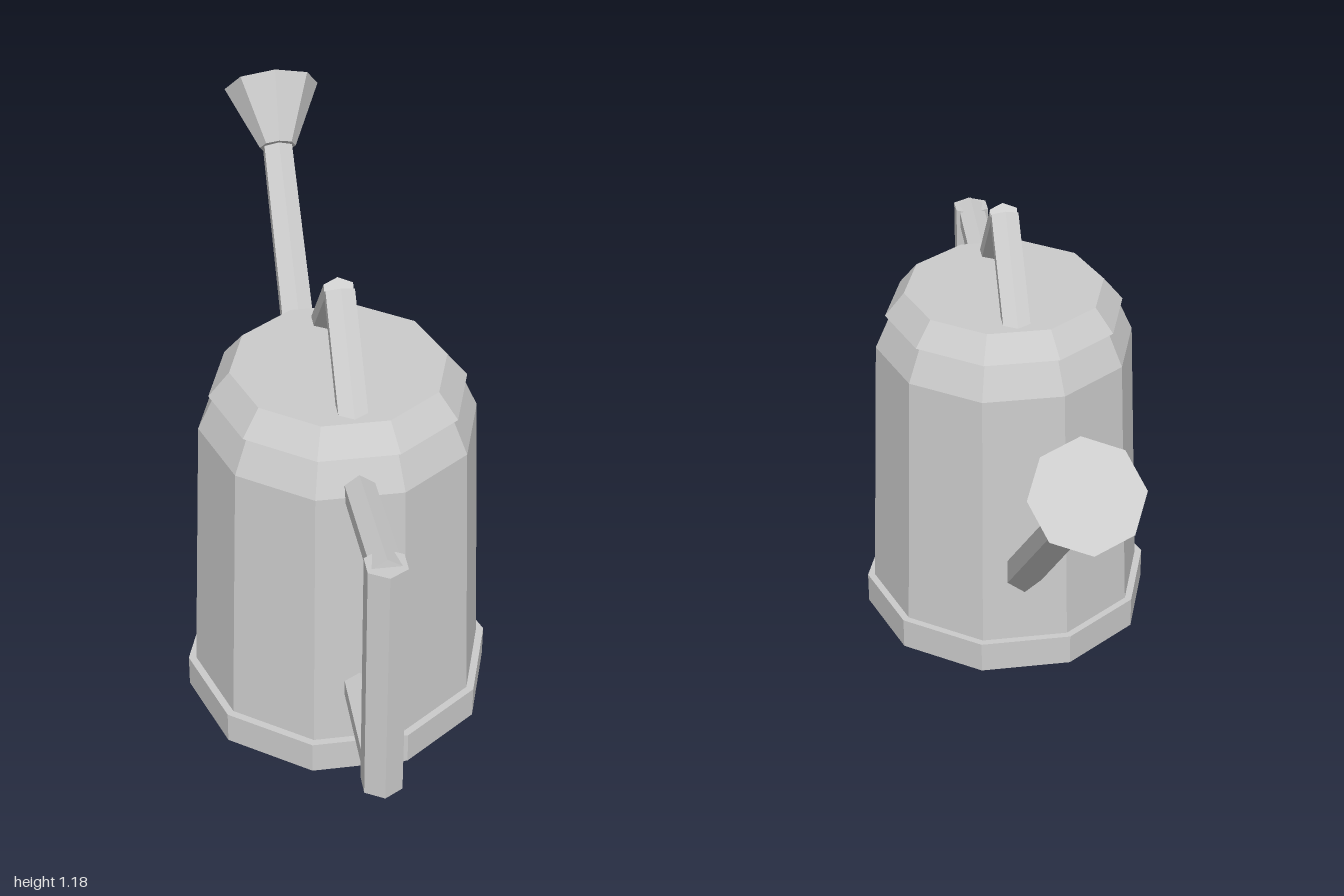
import * as THREE from 'three';

const material = new THREE.MeshStandardMaterial({ color: 0xcccccc, flatShading: true });
const BODY_Z = 0.29;

// Ten-sided ring of the can, with corners on the x axis
function ring(name, y0, y1, r0, r1) {
  const geometry = new THREE.CylinderGeometry(r1, r0, y1 - y0, 10, 1, false, Math.PI / 10);
  const mesh = new THREE.Mesh(geometry, material);
  mesh.name = name;
  mesh.position.set(0, (y0 + y1) / 2, BODY_Z);
  return mesh;
}

// Faceted bar between two [z, y] points in the middle plane
function bar(name, a, b, r0, r1 = r0, sides = 6, squash = 1) {
  const dz = b[0] - a[0], dy = b[1] - a[1];
  const geometry = new THREE.CylinderGeometry(r1, r0, Math.hypot(dz, dy), sides);
  geometry.scale(1, 1, squash);
  const mesh = new THREE.Mesh(geometry, material);
  mesh.name = name;
  mesh.position.set(0, (a[1] + b[1]) / 2, (a[0] + b[0]) / 2);
  mesh.rotation.x = Math.atan2(dz, dy);
  return mesh;
}

export function createModel() {
  const model = new THREE.Group();
  model.name = 'wateringCan';

  // Can
  model.add(
    ring('base', 0, 0.086, 0.387, 0.387),
    ring('body', 0.08, 0.807, 0.368, 0.34),
    ring('shoulder', 0.807, 0.905, 0.34, 0.296),
    ring('lid', 0.898, 0.961, 0.313, 0.262),
  );

  // Peaked carrying handle on the lid
  for (const side of [1, -1]) {
    model.add(bar('lidHandle', [BODY_Z + side * 0.22, 0.93], [BODY_Z + side * 0.003, 1.164], 0.04, 0.04, 6, 0.77));
  }

  // Rear handle
  const handle = new THREE.Group();
  handle.name = 'handle';
  handle.add(
    bar('grip', [0.945, 0.221], [0.945, 0.876], 0.052),
    bar('upperArm', [0.56, 0.809], [0.961, 0.855], 0.041),
    bar('lowerArm', [0.58, 0.243], [0.963, 0.243], 0.0425),
  );
  model.add(handle);

  // Spout and sprinkler head
  model.add(
    bar('spout', [0.03, 0.223], [-0.797, 0.968], 0.053, 0.044),
    bar('sprinklerHead', [-0.783, 0.967], [-0.911, 1.088], 0.05, 0.13, 8),
  );
  return model;
}
